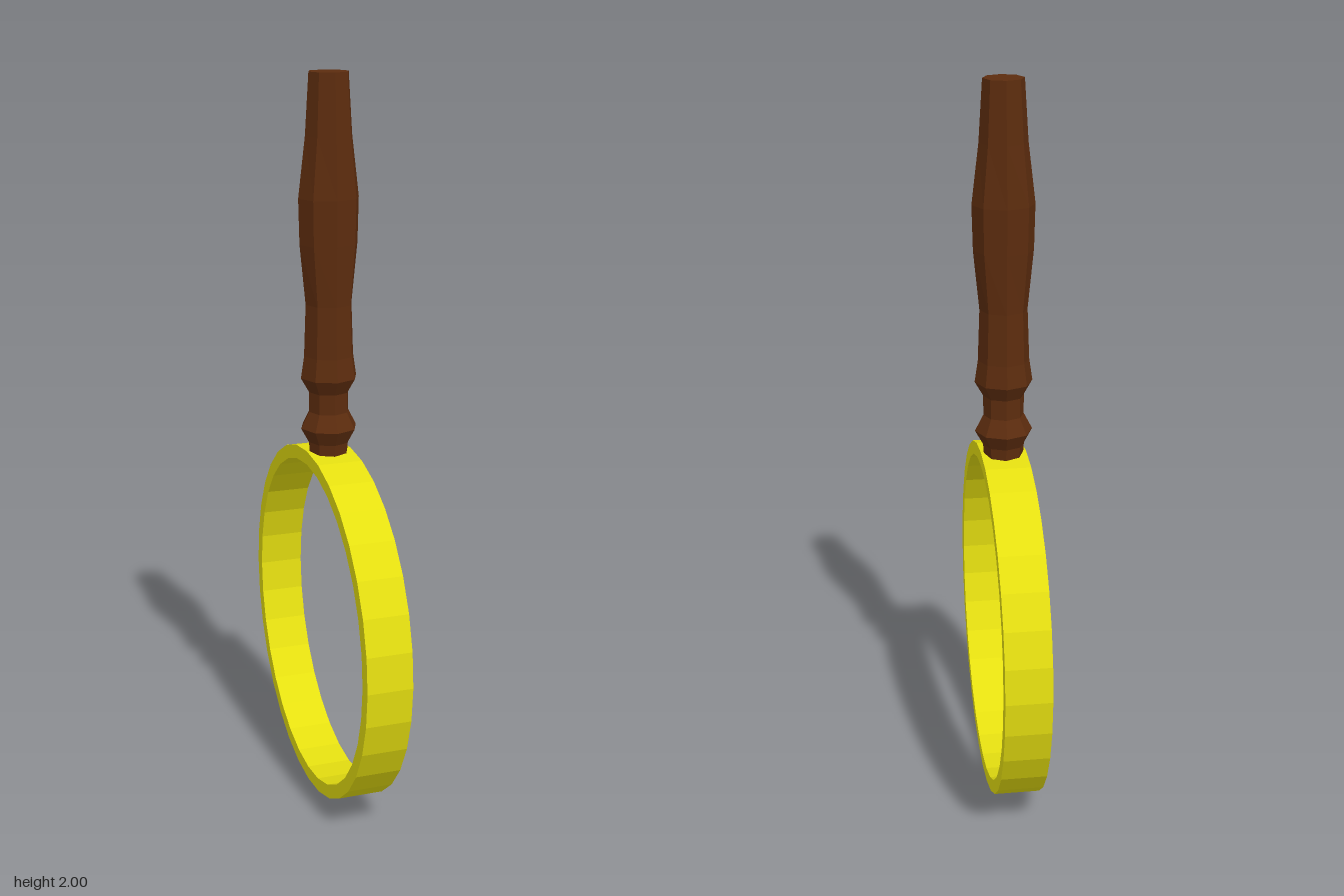
import * as THREE from 'three';

const material = (color) => new THREE.MeshStandardMaterial({ color, flatShading: true });

function lathe(points, sides) {
  return new THREE.LatheGeometry(points.map(([r, y]) => new THREE.Vector2(r, y)), sides);
}

export function createModel() {
  const model = new THREE.Group();

  // Flat hoop: rectangular section swept around the x axis
  const outer = 0.497, inner = 0.459, half = 0.062;
  const ring = new THREE.Mesh(
    lathe([[inner, -half], [outer, -half], [outer, half], [inner, half], [inner, -half]], 32),
    material(0xe5df10)
  );
  ring.name = 'ring';
  ring.geometry.rotateZ(Math.PI / 2);
  ring.position.y = outer;
  model.add(ring);

  // Eight-sided turned handle, closed at both ends
  const profile = [
    [0, 0.98], [0.053, 0.98], [0.056, 1.02], [0.078, 1.06], [0.055, 1.105], [0.055, 1.16],
    [0.078, 1.2], [0.069, 1.26], [0.064, 1.4], [0.08, 1.56], [0.083, 1.68],
    [0.064, 1.84], [0.054, 2], [0, 2]
  ];
  const geometry = lathe(profile, 8);
  // The grip swell is slimmer from front to back
  const pos = geometry.attributes.position;
  for (let i = 0; i < pos.count; i++) {
    const y = pos.getY(i);
    if (y > 1.5 && y < 1.75) pos.setZ(i, pos.getZ(i) * 0.88);
  }
  geometry.computeVertexNormals();
  const handle = new THREE.Mesh(geometry, material(0x5c2c0e));
  handle.name = 'handle';
  model.add(handle);

  return model;
}
